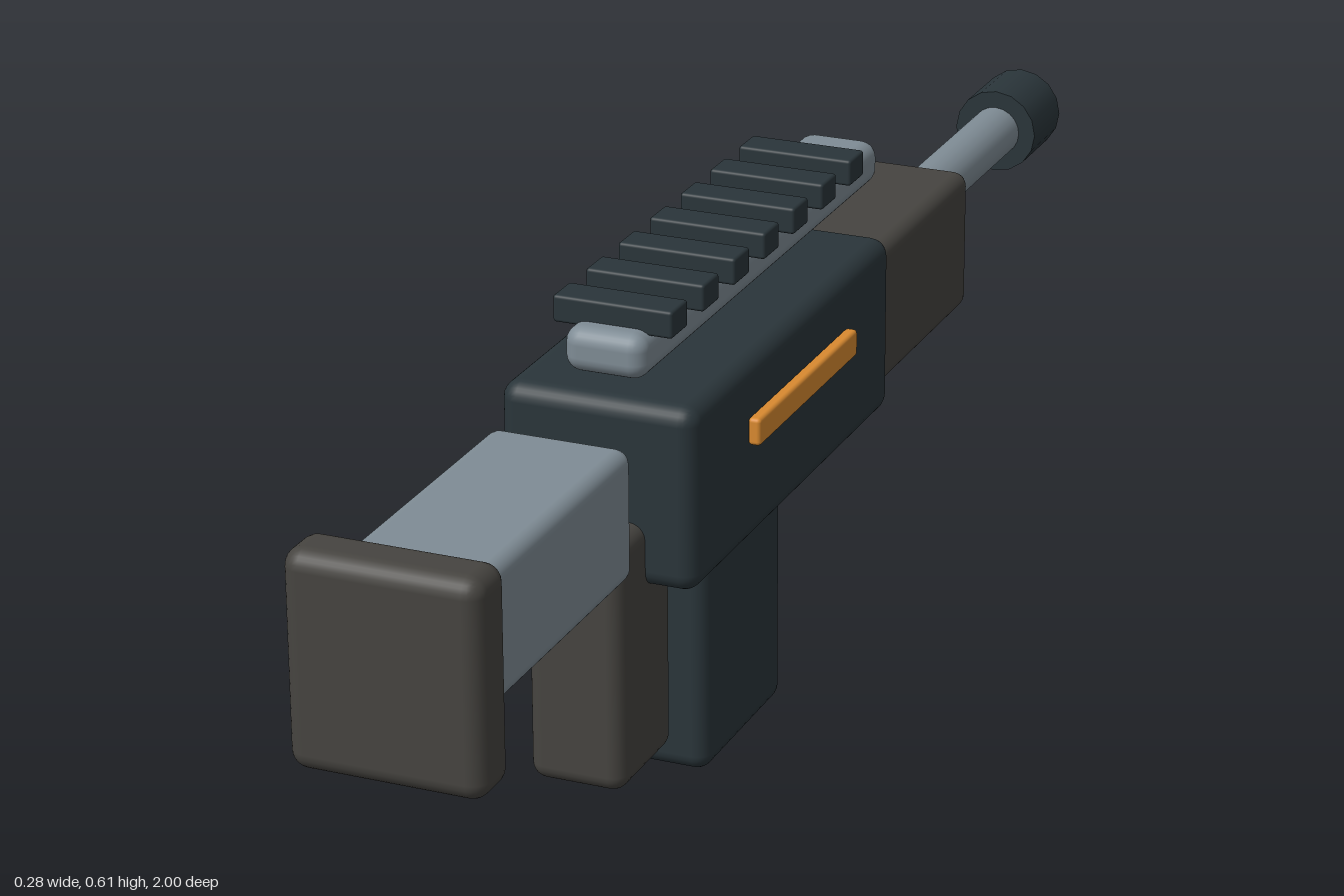
import * as THREE from 'three';
import { RoundedBoxGeometry } from 'three/addons/geometries/RoundedBoxGeometry.js';

const paint = (color) => new THREE.MeshStandardMaterial({ color });

export function createModel() {
  const model = new THREE.Group();
  const dark = paint(0x2a353a);
  const brown = paint(0x464440);
  const steel = paint(0x7f8c95);
  const orange = paint(0xd98a30);

  const add = (name, geometry, material) => {
    const mesh = new THREE.Mesh(geometry, material);
    mesh.name = name;
    model.add(mesh);
    return mesh;
  };

  // Rounded block given by its [min, max] range on each axis
  const block = (name, material, [x0, x1], [y0, y1], [z0, z1], radius) => {
    const geometry = new RoundedBoxGeometry(x1 - x0, y1 - y0, z1 - z0, 3, radius);
    const mesh = add(name, geometry, material);
    mesh.position.set((x0 + x1) / 2, (y0 + y1) / 2, (z0 + z1) / 2);
  };

  // Round bar along z
  const bar = (name, material, radius, z0, z1, sides) => {
    const geometry = new THREE.CylinderGeometry(radius, radius, z1 - z0, sides).rotateX(Math.PI / 2);
    add(name, geometry, material).position.set(0, 0.405, (z0 + z1) / 2);
  };

  // Body
  block('receiver', dark, [-0.122, 0.122], [0.29, 0.517], [-0.17, 0.45], 0.022);
  block('handguard', brown, [-0.108, 0.108], [0.31, 0.495], [-0.49, -0.15], 0.018);

  // Barrel and muzzle
  bar('barrel', steel, 0.034, -1, -0.47, 20);
  bar('muzzle', dark, 0.057, -0.997, -0.893, 16);

  // Stock and butt plate
  block('stock', steel, [-0.087, 0.087], [0.345, 0.506], [0.54, 0.94], 0.018);
  block('buttPlate', brown, [-0.116, 0.116], [0.28, 0.536], [0.928, 1], 0.022);

  // Grip and magazine
  block('grip', brown, [-0.06, 0.06], [0.057, 0.37], [0.37, 0.52], 0.02);
  block('magazine', dark, [-0.059, 0.083], [0, 0.32], [0.088, 0.327], 0.02);

  // Top rail with cross teeth
  block('rail', steel, [-0.051, 0.051], [0.532, 0.587], [-0.313, 0.43], 0.02);
  for (let i = 0; i < 7; i++) {
    const z = 0.378 - i * 0.092;
    block('railTooth', dark, [-0.074, 0.074], [0.58, 0.613], [z - 0.023, z + 0.023], 0.004);
  }

  // Side accent strips
  for (const side of [-1, 1]) {
    const range = side > 0 ? [0.122, 0.138] : [-0.138, -0.122];
    block('sideStrip', orange, range, [0.418, 0.452], [-0.016, 0.295], 0.005);
  }

  return model;
}
